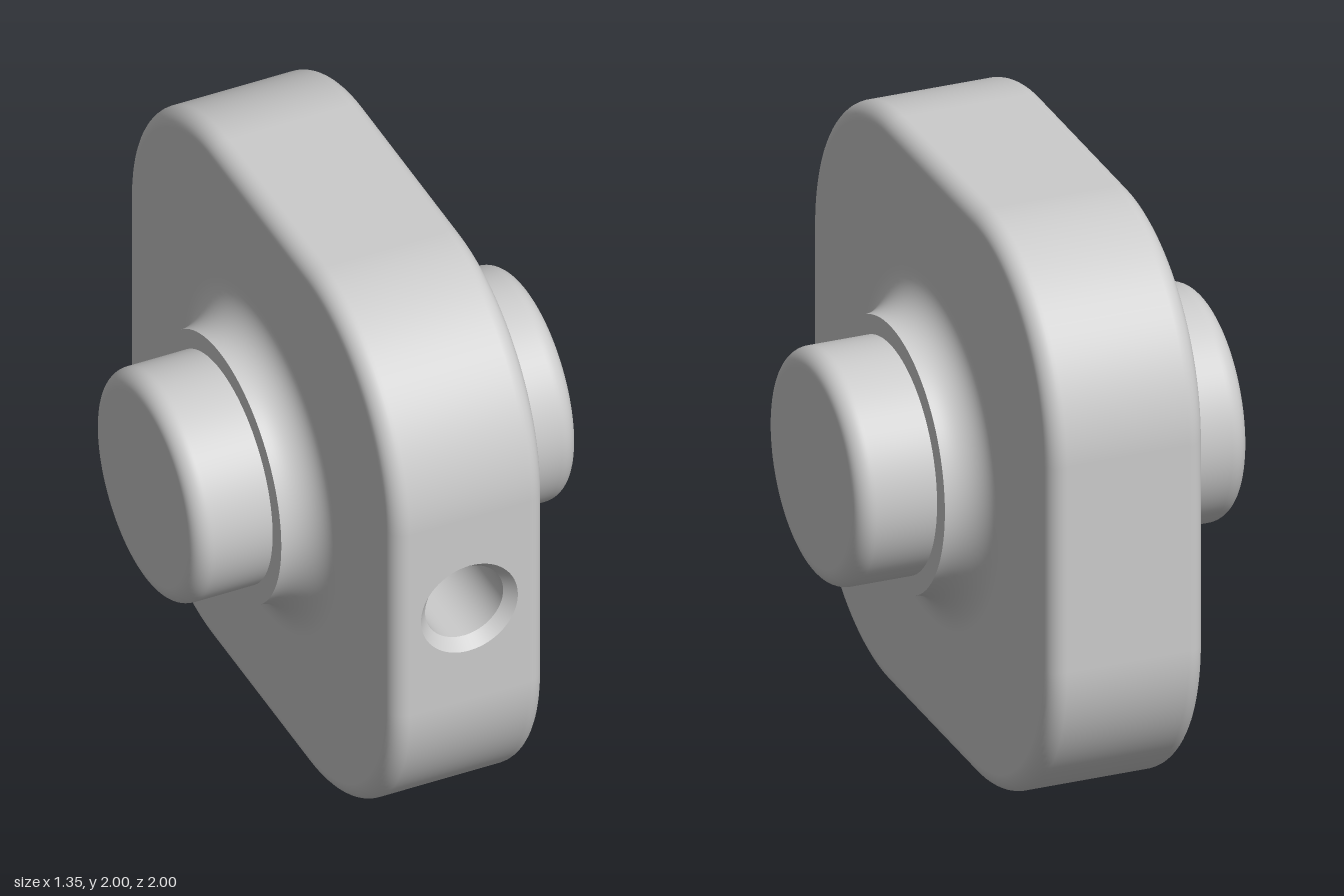
import * as THREE from 'three';

const MAT = new THREE.MeshStandardMaterial({ color: 0xcccccc });
const OPEN = new THREE.MeshStandardMaterial({ color: 0xcccccc, side: THREE.DoubleSide });

const HALF = 0.27;      // half thickness of the plate
const EDGE = 0.06;      // edge rounding
const FLAT = 0.36;      // half length of each straight side
const SHAFT_R = 0.39;
const HUB_X = 0.405;    // outer face of the hub
const HUB_R = 0.455;

function part(name, geometry, material = MAT) {
  const mesh = new THREE.Mesh(geometry, material);
  mesh.name = name;
  return mesh;
}

// Points of an arc as [radius, height] for a lathe profile
function arc(cx, cy, r, a0, a1, n = 12) {
  return Array.from({ length: n + 1 }, (_, i) => {
    const a = a0 + (a1 - a0) * i / n;
    return new THREE.Vector2(cx + r * Math.cos(a), cy + r * Math.sin(a));
  });
}

// Lathe turned so its axis lies along x
const latheX = (pts) => new THREE.LatheGeometry(pts, 96).rotateZ(-Math.PI / 2);

// Rounded square plate with soft edges; its flat front side is left open
function plateGeometry() {
  const r = 1 - EDGE - FLAT;
  const pts = [];
  [[1, 1], [-1, 1], [-1, -1], [1, -1]].forEach(([sx, sy], q) => {
    pts.push(...arc(sx * FLAT, sy * FLAT, r, q * Math.PI / 2, (q + 1) * Math.PI / 2, 28));
  });
  const geo = new THREE.ExtrudeGeometry(new THREE.Shape(pts), {
    depth: 2 * (HALF - EDGE), bevelSize: EDGE, bevelThickness: EDGE, bevelSegments: 8,
  });
  geo.translate(0, 0, EDGE - HALF).rotateY(Math.PI / 2);

  const p = geo.attributes.position;
  const pos = [], nor = [];
  const excess = (v) => v - THREE.MathUtils.clamp(v, -FLAT - 0.003, FLAT + 0.003);
  for (let i = 0; i < p.count; i += 3) {
    const tri = [i, i + 1, i + 2];
    if (tri.every((k) => p.getZ(k) > 0.9995)) continue;
    for (const k of tri) {
      const x = p.getX(k), y = p.getY(k), z = p.getZ(k);
      const nx = Math.min(1, Math.max(0, Math.abs(x) - HALF + EDGE) / EDGE) * Math.sign(x);
      const side = new THREE.Vector2(excess(y), excess(z)).normalize()
        .multiplyScalar(Math.sqrt(1 - nx * nx));
      pos.push(x, y, z);
      nor.push(nx, side.x, side.y);
    }
  }
  const out = new THREE.BufferGeometry();
  out.setAttribute('position', new THREE.Float32BufferAttribute(pos, 3));
  out.setAttribute('normal', new THREE.Float32BufferAttribute(nor, 3));
  return out;
}

// Flat front side of the plate, pierced by the hole
function frontPanelGeometry(holeR) {
  const w = HALF - EDGE, h = FLAT + 0.001;
  const shape = new THREE.Shape([[-w, -h], [w, -h], [w, h], [-w, h]]
    .map(([x, y]) => new THREE.Vector2(x, y)));
  shape.holes.push(new THREE.Path().absarc(0, 0, holeR, 0, Math.PI * 2, true));
  return new THREE.ShapeGeometry(shape, 32).translate(0, 0, 1);
}

// Open tube along z, from radius r0 at z0 (front) to r1 at z1
function bore(r0, z0, r1, z1) {
  return new THREE.CylinderGeometry(r0, r1, z0 - z1, 64, 1, true)
    .rotateX(Math.PI / 2).translate(0, 0, (z0 + z1) / 2);
}

export function createModel() {
  const model = new THREE.Group();
  model.name = 'bearingBlock';
  const body = new THREE.Group();
  body.name = 'body';
  body.position.y = 1;
  model.add(body);

  // Plate with a countersunk radial hole reaching the shaft
  body.add(part('plate', plateGeometry()));
  body.add(part('frontPanel', frontPanelGeometry(0.17)));
  body.add(part('holeChamfer', bore(0.17, 1, 0.137, 0.96), OPEN));
  body.add(part('holeWall', bore(0.137, 0.96, 0.137, 0.35), OPEN));

  // Hub flare, hub face and shaft end on both sides
  const end = 0.675, f = 0.06;
  for (const [name, turn] of [['left', 0], ['right', Math.PI]]) {
    const side = new THREE.Group();
    side.name = name + 'Side';
    side.rotation.y = turn;

    const flare = arc(HUB_R + HUB_X - HALF, HUB_X, HUB_X - HALF, Math.PI * 1.5, Math.PI, 16);
    side.add(part('hubFlare', latheX(flare)));

    const ring = new THREE.RingGeometry(SHAFT_R - 0.01, HUB_R, 96)
      .rotateY(Math.PI / 2).translate(HUB_X, 0, 0);
    side.add(part('hubFace', ring));

    // Extra points beside the rounding keep the straight runs flat
    const c = SHAFT_R - f;
    const shaft = [
      new THREE.Vector2(SHAFT_R, 0),
      new THREE.Vector2(SHAFT_R, end - f - 0.003),
      ...arc(c, end - f, f, 0, Math.PI / 2),
      new THREE.Vector2(c - 0.003, end),
      new THREE.Vector2(0, end),
    ];
    side.add(part('shaftEnd', latheX(shaft)));
    body.add(side);
  }
  return model;
}
